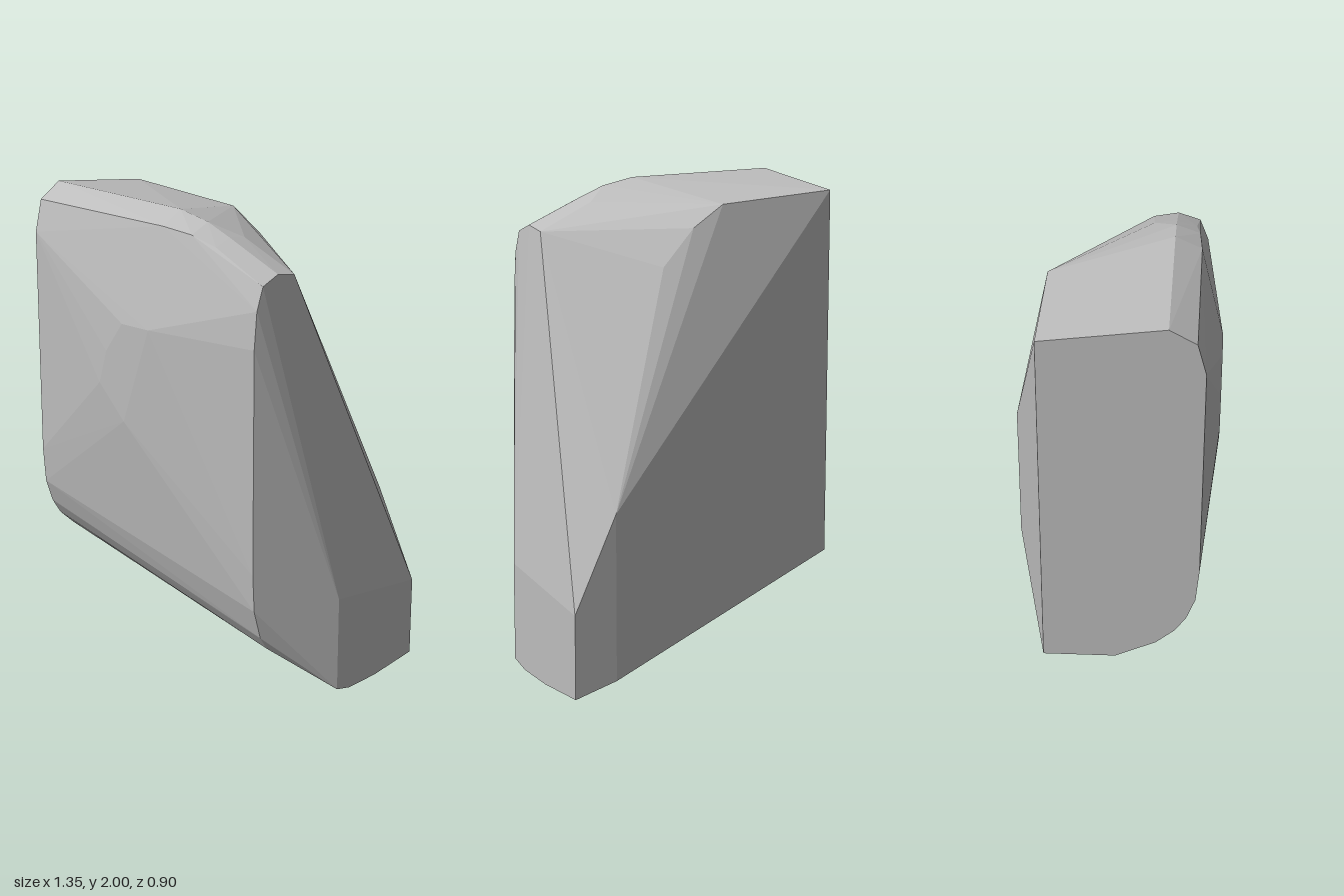
import * as THREE from 'three';
import { ConvexGeometry } from 'three/addons/geometries/ConvexGeometry.js';

// Cross-section at a given x, from [z, y] pairs
const section = (x, pairs) => pairs.map(([z, y]) => new THREE.Vector3(x, y, z));

export function createModel() {
  const group = new THREE.Group();
  group.name = 'facetedBlock';
  const grey = new THREE.MeshStandardMaterial({ color: 0xbdbdbd });
  grey.name = 'stone grey';

  const points = [
    // flat end face
    ...section(-0.675, [
      [-0.235, 1.93], [0.25, 2.0], [0.355, 1.94], [0.39, 1.81], [0.392, 0.86],
      [0.38, 0.71], [0.345, 0.61], [0.3, 0.54], [0.225, 0.47], [0.06, 0.385], [-0.235, 0.38],
    ]),
    // bulge of the broad front
    ...section(-0.27, [[0.45, 1.26]]),
    ...section(-0.23, [[0.45, 1.4]]),
    ...section(-0.14, [[0.45, 1.12], [0.45, 1.53], [-0.235, 1.89]]),
    // crown sloping to the side
    ...section(0, [[0.45, 1.53], [0.355, 1.93], [0.25, 1.98], [-0.235, 1.8]]),
    ...section(0.14, [[0.345, 1.915], [0.25, 1.95], [-0.235, 1.65]]),
    ...section(0.25, [[0.33, 1.88], [0.25, 1.905], [0.16, 1.89]]),
    // shoulder
    ...section(0.49, [
      [-0.455, 0.73], [0.15, 1.78], [0.25, 1.8], [0.34, 1.77], [0.375, 1.68], [0.39, 1.53],
      [0.39, 0.6], [0.38, 0.44], [0.34, 0.31], [0.3, 0.25], [-0.455, 0.055],
    ]),
    // narrow foot
    ...section(0.675, [
      [-0.455, 0.35], [0.065, 0.44], [0.065, 0.035], [-0.02, 0.01], [-0.2, 0], [-0.455, 0.01],
    ]),
  ];

  const block = new THREE.Mesh(new ConvexGeometry(points), grey);
  block.name = 'block';
  group.add(block);
  return group;
}
